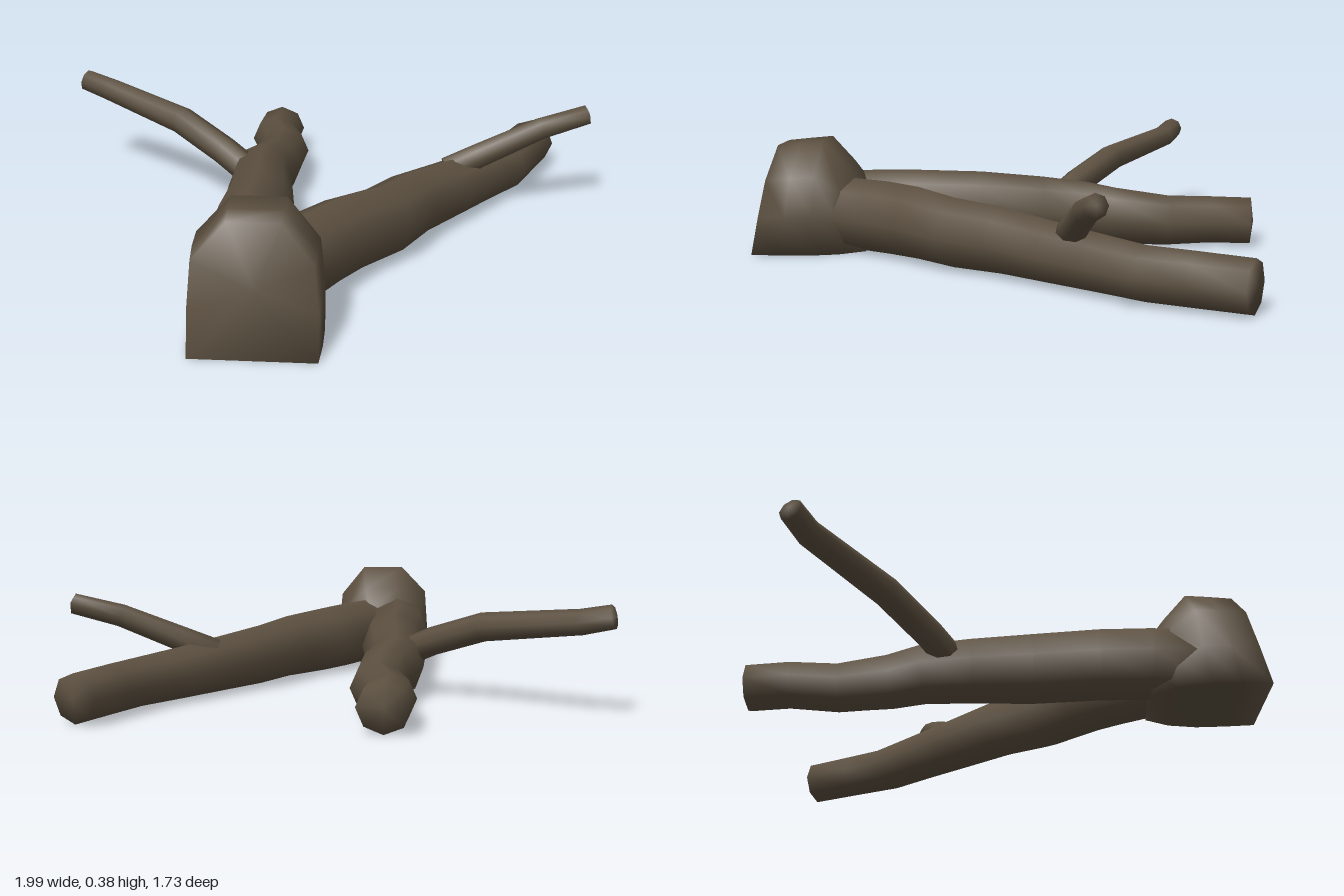
import * as THREE from 'three';

const SIDES = 8;

// Skin a list of equal-length rings with shared vertices and close both ends
function skin(rings, startCentre, endCentre) {
  const n = rings[0].length;
  const pos = [];
  const index = [];
  rings.flat().forEach((v) => pos.push(v.x, Math.max(0, v.y), v.z));
  for (let i = 0; i < rings.length - 1; i++) {
    for (let j = 0; j < n; j++) {
      const k = (j + 1) % n;
      const a = i * n + j, b = i * n + k, c = a + n, d = b + n;
      index.push(a, c, b, b, c, d);
    }
  }
  const s = pos.length / 3;
  const last = (rings.length - 1) * n;
  pos.push(...startCentre.toArray(), ...endCentre.toArray());
  for (let j = 0; j < n; j++) {
    const k = (j + 1) % n;
    index.push(s, j, k, s + 1, last + k, last + j);
  }
  const geo = new THREE.BufferGeometry();
  geo.setAttribute('position', new THREE.Float32BufferAttribute(pos, 3));
  geo.setIndex(index);
  geo.computeVertexNormals();
  return geo;
}

// Sweep an oval along points of [x, y, z, halfWidth, halfHeight]
function limb(points) {
  const centres = points.map((p) => new THREE.Vector3(p[0], p[1], p[2]));
  const Y = new THREE.Vector3(0, 1, 0);
  const tangent = (i) => {
    const a = centres[Math.max(0, i - 1)];
    const b = centres[Math.min(centres.length - 1, i + 1)];
    return b.clone().sub(a).normalize();
  };
  const rings = points.map((p, i) => {
    const t = tangent(i);
    const side = t.clone().cross(Y).normalize();
    const up = side.clone().cross(t);
    return Array.from({ length: SIDES }, (_, j) => {
      const a = (j / SIDES) * Math.PI * 2;
      return centres[i].clone()
        .addScaledVector(side, Math.cos(a) * p[3])
        .addScaledVector(up, Math.sin(a) * p[4]);
    });
  });
  const end = centres.length - 1;
  return skin(rings, centres[0], centres[end].clone().addScaledVector(tangent(end), 0.01));
}

// Heavy limb lying on the ground: [x, z, halfWidth, height]
const groundLimb = (pts) => limb(pts.map(([x, z, w, h]) => [x, h / 2, z, w, h / 2]));
// Thin round twig: [x, y, z, radius]
const twig = (pts) => limb(pts.map(([x, y, z, r]) => [x, y, z, r, r]));

// Broad butt of the log, with a cut face leaning in towards the top
function stump() {
  const section = [[1, 0], [1, 0.35], [0.92, 0.7], [0.42, 1], [-0.42, 1], [-0.95, 0.72], [-1, 0.35], [-1, 0]];
  const place = (s, p, y) =>
    new THREE.Vector3(-0.88 + 0.747 * s + 0.664 * p, y, 0.735 - 0.664 * s + 0.747 * p);
  const stations = [ // distance along axis, half width, height
    [0, 0.18, 0.37], [0.1, 0.187, 0.378], [0.2, 0.188, 0.385], [0.3, 0.165, 0.3], [0.385, 0.11, 0.22],
  ];
  const rings = stations.map(([s, w, h]) =>
    section.map(([p, f]) => place(s + 0.08 * f * (1 - s / 0.385), p * w, f * h)));
  return skin(rings, place(0.06, 0, 0.18), place(0.385, 0, 0.11));
}

export function createModel() {
  const bark = new THREE.MeshStandardMaterial({ color: 0x5c5040 });
  bark.name = 'bark';
  const group = new THREE.Group();
  group.name = 'fallenBranch';
  const add = (name, geo) => {
    const mesh = new THREE.Mesh(geo, bark);
    mesh.name = name;
    group.add(mesh);
  };

  add('stump', stump());

  add('frontLimb', groundLimb([
    [-0.76, 0.62, 0.12, 0.25], [-0.6, 0.565, 0.12, 0.255], [-0.42, 0.527, 0.117, 0.255],
    [-0.29, 0.51, 0.115, 0.25], [-0.1, 0.51, 0.11, 0.235], [0.08, 0.465, 0.106, 0.22],
    [0.3, 0.447, 0.1, 0.2], [0.47, 0.432, 0.096, 0.185], [0.65, 0.42, 0.095, 0.172],
    [0.8, 0.375, 0.088, 0.17], [0.97, 0.322, 0.084, 0.166],
  ]));

  add('backLimb', groundLimb([
    [-0.74, 0.54, 0.13, 0.26], [-0.64, 0.43, 0.125, 0.263], [-0.52, 0.315, 0.12, 0.263],
    [-0.34, 0.175, 0.117, 0.26], [-0.19, 0.02, 0.11, 0.24], [-0.08, -0.085, 0.1, 0.222],
    [0.03, -0.135, 0.093, 0.205], [0.18, -0.25, 0.092, 0.18], [0.27, -0.39, 0.088, 0.17],
    [0.385, -0.475, 0.088, 0.168],
  ]));

  add('frontTwig', twig([
    [0.33, 0.15, 0.42, 0.05], [0.42, 0.2, 0.485, 0.045], [0.59, 0.29, 0.615, 0.04],
    [0.72, 0.335, 0.715, 0.036],
  ]));

  add('backTwig', twig([
    [-0.17, 0.14, -0.03, 0.05], [-0.185, 0.2, -0.17, 0.05], [-0.205, 0.268, -0.38, 0.05],
    [-0.25, 0.315, -0.75, 0.043], [-0.285, 0.338, -0.85, 0.04],
  ]));

  return group;
}
